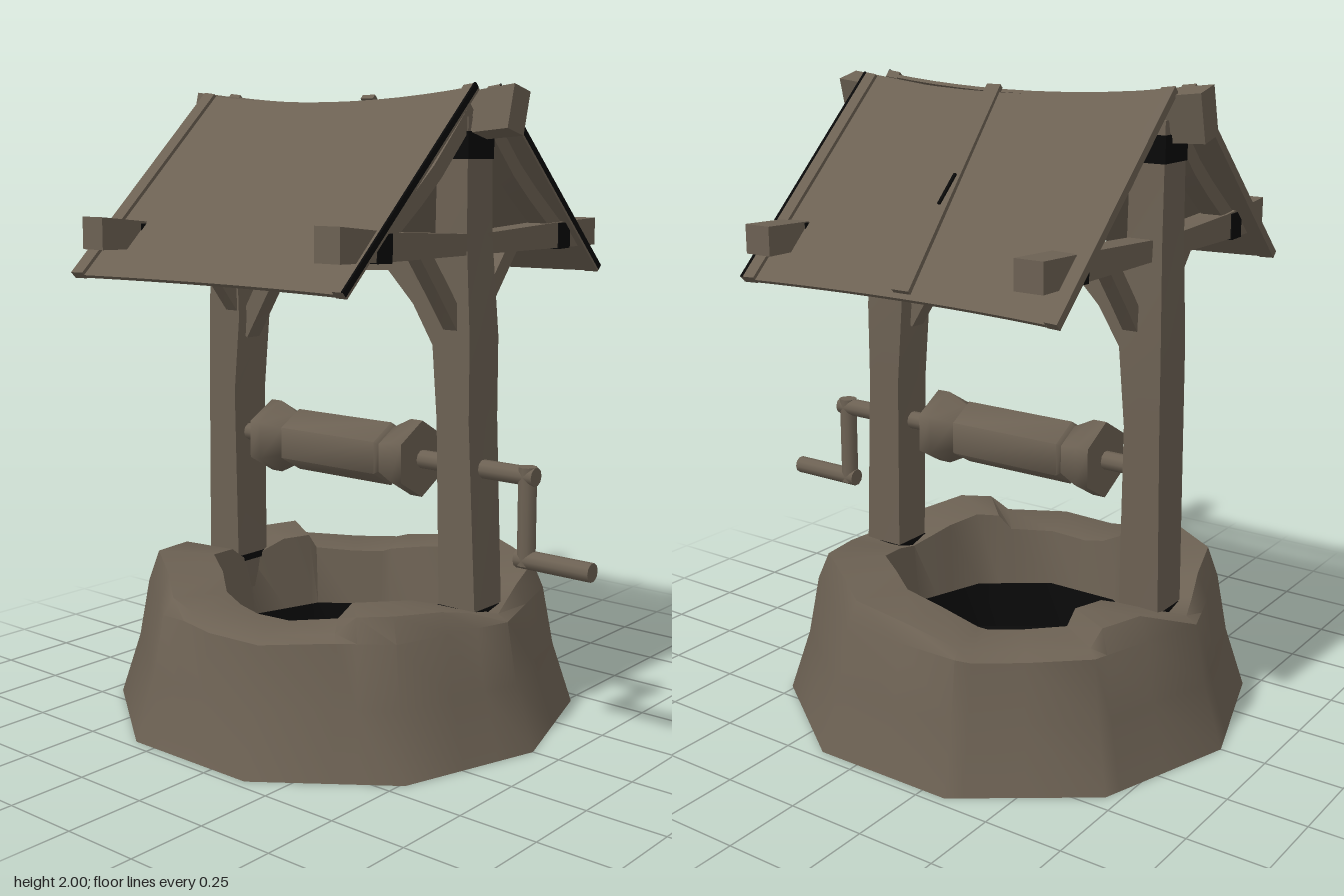
import * as THREE from 'three';
import { toCreasedNormals } from 'three/addons/utils/BufferGeometryUtils.js';

const CX = -0.0975; // centre of the well in x

export function createModel() {
  const model = new THREE.Group();
  model.name = 'well';
  const brown = new THREE.MeshStandardMaterial({ color: 0x6c6153, side: THREE.DoubleSide });
  brown.name = 'weathered brown';
  const black = new THREE.MeshStandardMaterial({ color: 0x090909, side: THREE.DoubleSide });
  black.name = 'black';

  function add(name, geometry, material = brown, parent = model) {
    const mesh = new THREE.Mesh(geometry, material);
    mesh.name = name;
    parent.add(mesh);
    return mesh;
  }

  function surface(positions, index, crease) {
    const g = new THREE.BufferGeometry();
    g.setAttribute('position', new THREE.Float32BufferAttribute(positions, 3));
    g.setIndex(index);
    return toCreasedNormals(g, crease);
  }

  // Rectangular timber through stations [x, y, z, half size along u, half size across]
  function timber(name, stations, u, material = brown, parent = model) {
    const U = new THREE.Vector3(...u).normalize();
    const first = new THREE.Vector3(...stations[0]);
    const last = new THREE.Vector3(...stations[stations.length - 1]);
    const V = last.sub(first).cross(U).normalize();
    const pos = [], idx = [];
    stations.forEach(([x, y, z, a, b], i) => {
      for (const [su, sv] of [[-1, -1], [1, -1], [1, 1], [-1, 1]]) {
        const p = new THREE.Vector3(x, y, z).addScaledVector(U, su * a).addScaledVector(V, sv * b);
        pos.push(p.x, p.y, p.z);
      }
      if (i === 0) return;
      for (let k = 0; k < 4; k++) {
        const a0 = (i - 1) * 4 + k, a1 = (i - 1) * 4 + (k + 1) % 4;
        idx.push(a0, a1, a1 + 4, a0, a1 + 4, a0 + 4);
      }
    });
    const e = (stations.length - 1) * 4;
    idx.push(0, 2, 1, 0, 3, 2, e, e + 1, e + 2, e, e + 2, e + 3);
    return add(name, surface(pos, idx, 0.3), material, parent);
  }

  // Ten-sided stone ring; rim pairs are [angle in degrees, height], with chipped notches
  const rim = [[0, 0.41], [10, 0.43], [20, 0.45], [36, 0.465], [46, 0.46], [52, 0.41],
    [72, 0.4], [90, 0.395], [100, 0.41], [108, 0.44], [118, 0.485], [144, 0.49],
    [162, 0.475], [172, 0.43], [180, 0.41], [198, 0.46], [212, 0.46], [216, 0.41],
    [234, 0.4], [248, 0.4], [252, 0.41], [270, 0.44], [288, 0.465], [306, 0.475],
    [324, 0.475], [342, 0.45]];
  function ring(name, profile, material) {
    const n = rim.length, rows = profile(0).length, pos = [], idx = [];
    rim.forEach(([deg, height], k) => {
      const t = THREE.MathUtils.degToRad(deg);
      const flat = Math.cos(Math.PI / 10) / Math.cos(THREE.MathUtils.degToRad(deg % 36 - 18));
      for (const [r, y] of profile(height)) {
        pos.push(CX + r * flat * Math.cos(t), y, r * flat * Math.sin(t));
      }
      for (let j = 0; j < rows - 1; j++) {
        const a = k * rows + j, b = ((k + 1) % n) * rows + j;
        idx.push(a, a + 1, b + 1, a, b + 1, b);
      }
    });
    add(name, surface(pos, idx, 0.66), material);
  }
  ring('stoneRing', h => [[0.755, 0], [0.69, 0.2], [0.655, Math.min(0.39, h - 0.02)],
    [0.62, h], [0.435, h - 0.01], [0.415, 0.2]], brown);
  ring('darkShaft', () => [[0.415, 0.2], [0.39, 0.045]], black);
  const water = add('shaftBottom', new THREE.CircleGeometry(0.39, 10), black);
  water.rotation.x = -Math.PI / 2;
  water.position.set(CX, 0.045, 0);

  // Two posts, each with its cross beam, braces and rafters
  for (const s of [-1, 1]) {
    const frame = new THREE.Group();
    frame.name = s < 0 ? 'rightFrame' : 'leftFrame';
    model.add(frame);
    const out = d => CX + s * d; // distance from the middle
    const foot = s < 0 ? 0.49 : 0.512;
    timber('post', [
      [out(foot), 0.3, 0, 0.07, 0.068], [out(foot), 0.42, 0, 0.07, 0.068],
      [out(0.49), 1.0, -0.005, 0.074, 0.06], [out(0.478), 1.25, -0.008, 0.074, 0.07],
      [out(0.475), 1.55, 0, 0.065, 0.058], [out(0.475), 1.9, 0, 0.06, 0.055]], [0, 0, 1], brown, frame);
    timber('postTopBand', [[out(0.475), 1.78, 0, 0.065, 0.06],
      [out(0.475), 1.86, 0, 0.065, 0.06]], [0, 0, 1], black, frame);
    timber('postFootBand', [[out(foot), 0.4, 0, 0.072, 0.07],
      [out(foot), 0.422, 0, 0.072, 0.07]], [0, 0, 1], black, frame);

    const x = s < 0 ? -0.56 : 0.395;
    timber('crossBeam', [[x, 1.545, -0.64, 0.046, 0.044], [x, 1.54, -0.4, 0.044, 0.04],
      [x, 1.53, 0, 0.04, 0.03], [x, 1.54, 0.4, 0.044, 0.04],
      [x, 1.555, 0.64, 0.046, 0.05]], [1, 0, 0], brown, frame);

    timber('innerBrace', [[out(0.43), 1.2, 0, 0.03, 0.03], [out(0.33), 1.36, 0, 0.03, 0.03],
      [out(0.21), 1.48, 0, 0.03, 0.03]], [0, 0, 1], brown, frame);

    const bx = s < 0 ? -0.54 : 0.378;
    for (const f of [-1, 1]) {
      timber('beamBrace', [[bx, 1.27, f * 0.03, 0.025, 0.025],
        [bx, 1.385, f * 0.12, 0.025, 0.025], [bx, 1.52, f * 0.23, 0.025, 0.025]], [1, 0, 0], brown, frame);
      timber('rafter', [[x, 1.92, f * 0.03, 0.035, 0.025], [x, 1.745, f * 0.2, 0.035, 0.025],
        [x, 1.67, f * 0.29, 0.035, 0.025], [x, 1.55, f * 0.45, 0.035, 0.025]], [1, 0, 0], brown, frame);
      timber('beamBand', [[x, 1.537, f * 0.42, 0.048, 0.041],
        [x, 1.539, f * 0.485, 0.048, 0.041]], [1, 0, 0], black, frame);
    }
  }

  // Tie beam between the posts and sagging ridge beam
  timber('tieBeam', [[-0.57, 1.49, 0, 0.038, 0.038], [CX, 1.465, 0, 0.034, 0.034],
    [0.38, 1.49, 0, 0.038, 0.038]], [0, 1, 0]);
  timber('ridgeBeam', [[-0.735, 1.92, -0.005, 0.073, 0.04], [-0.4, 1.895, -0.005, 0.06, 0.036],
    [CX, 1.875, -0.005, 0.055, 0.034], [0.25, 1.89, -0.005, 0.06, 0.036],
    [0.565, 1.92, -0.005, 0.065, 0.042]], [0, 0.97, -0.25]);

  // Roof sheets: a flat box bent down the slope and sagging in the middle
  function slope(width, thick, x0, lift) {
    const g = new THREE.BoxGeometry(width, 1, thick, width > 0.5 ? 12 : 1, 4, 1);
    const p = g.attributes.position;
    for (let i = 0; i < p.count; i++) {
      const x = p.getX(i) + x0, v = 0.5 - p.getY(i), o = p.getZ(i) + lift;
      const sag = 1 - (x / 0.56) ** 2;
      p.setXYZ(i, x, 1.985 - 0.565 * v - 0.035 * sag * (1 - v) + o * 0.72,
        0.05 + 0.59 * v - 0.045 * sag * v + o * 0.69);
    }
    return toCreasedNormals(g, 0.5);
  }
  for (const side of ['front', 'back']) {
    const roof = new THREE.Group();
    const turn = side === 'front' ? 1 : -1;
    roof.name = side + 'Roof';
    roof.position.x = CX;
    if (turn < 0) roof.rotation.y = Math.PI;
    model.add(roof);
    add('roofSheet', slope(1.08, 0.012, 0, 0), brown, roof);
    for (const s of [-1, 1]) add('roofEdge', slope(0.045, 0.026, s * 0.535, 0.004), brown, roof);
    add('roofEdgeLine', slope(0.008, 0.02, turn * 0.554, 0.009), black, roof);
  }

  // Raised seam down the back roof, with a short crack
  timber('roofSeam', [[-0.03, 1.972, -0.04, 0.025, 0.008], [-0.1, 1.44, -0.59, 0.03, 0.01]], [1, 0, 0]);
  timber('roofCrack', [[-0.074, 1.738, -0.3, 0.004, 0.004],
    [-0.074, 1.66, -0.38, 0.004, 0.004]], [1, 0, 0], black);

  // Winch: six-sided drum with flared ends, axle and crank, turned along x
  const winch = new THREE.Group();
  winch.name = 'winch';
  winch.position.y = 0.853;
  model.add(winch);
  const profile = [[0.001, -0.42], [0.122, -0.42], [0.122, -0.375], [0.088, -0.305], [0.102, -0.295],
    [0.102, 0.1], [0.088, 0.11], [0.122, 0.18], [0.122, 0.225], [0.001, 0.225]];
  const drum = new THREE.LatheGeometry(profile.map(([r, x]) => new THREE.Vector2(r, x)), 6);
  drum.rotateY(Math.PI / 2).rotateZ(-Math.PI / 2);
  add('drum', toCreasedNormals(drum, 1.1), brown, winch);

  function rod(name, length, x, y, alongX) {
    const g = new THREE.CylinderGeometry(0.029, 0.029, length, 10);
    if (alongX) g.rotateZ(Math.PI / 2);
    add(name, g, brown, winch).position.set(x, y, 0);
  }
  rod('axle', 1.19, 0.055, 0, true);
  rod('crankArm', 0.3, 0.62, -0.122, false);
  rod('crankHandle', 0.26, 0.72, -0.255, true);

  return model;
}
